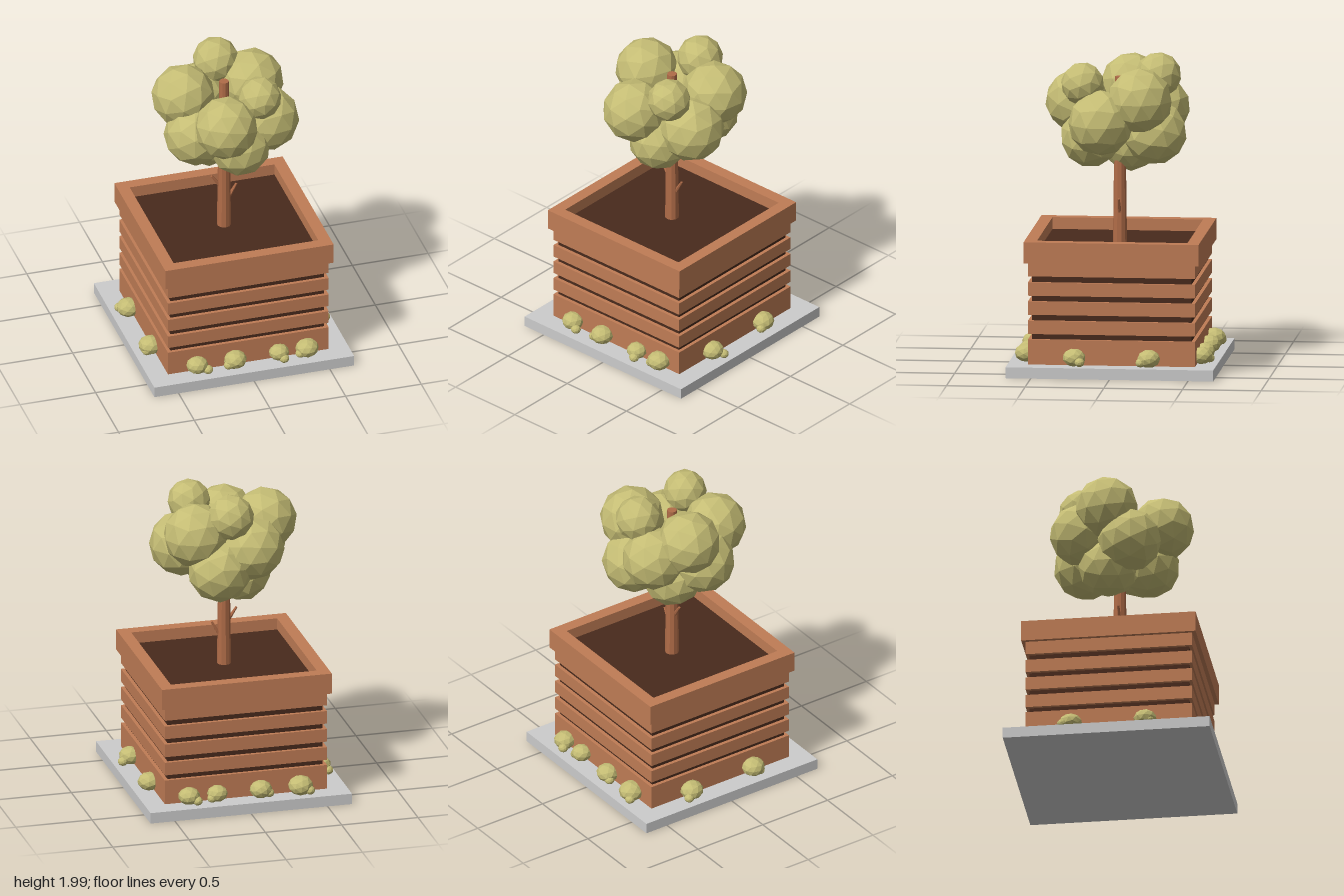
import * as THREE from 'three';

const material = (color) => new THREE.MeshStandardMaterial({ color, flatShading: true });

export function createModel() {
  const model = new THREE.Group();
  const wood = material(0xbf7c55);
  const bark = material(0xb06c48);
  const soilDark = material(0x482a1c);
  const leaf = material(0xc4bc74);
  const stone = material(0xcccccc);

  const add = (name, geometry, mat, parent = model) => {
    const mesh = new THREE.Mesh(geometry, mat);
    mesh.name = name;
    parent.add(mesh);
    return mesh;
  };

  // Square box standing between two heights
  const block = (name, half, y0, y1, mat) => {
    add(name, new THREE.BoxGeometry(half * 2, y1 - y0, half * 2), mat).position.y = (y0 + y1) / 2;
  };

  // Square wooden frame with an open middle
  const frame = (name, outer, inner, y0, y1) => {
    const square = (path, h) => path.moveTo(-h, -h).lineTo(h, -h).lineTo(h, h).lineTo(-h, h).closePath();
    const shape = square(new THREE.Shape(), outer);
    shape.holes.push(square(new THREE.Path(), inner));
    const geometry = new THREE.ExtrudeGeometry(shape, { depth: y1 - y0, bevelEnabled: false });
    geometry.rotateX(-Math.PI / 2);
    add(name, geometry, wood).position.y = y0;
  };

  // Planter
  block('baseSlab', 0.66, 0, 0.07, stone);
  block('soil', 0.508, 0.07, 0.78, soilDark);
  [[0.07, 0.23], [0.265, 0.35], [0.388, 0.473], [0.51, 0.595], [0.634, 0.725]]
    .forEach(([y0, y1], i) => frame(`plankRing${i + 1}`, 0.531, 0.49, y0, y1));
  frame('rim', 0.556, 0.478, 0.72, 0.855);

  // Trunk and twig stubs
  const trunk = new THREE.Group();
  trunk.name = 'trunk';
  model.add(trunk);
  add('stem', new THREE.CylinderGeometry(0.031, 0.045, 1.07, 10), bark, trunk).position.y = 1.305;
  const up = new THREE.Vector3(0, 1, 0);
  const twig = (x0, y0, x1, y1) => {
    const from = new THREE.Vector3(x0, y0, 0);
    const dir = new THREE.Vector3(x1, y1, 0).sub(from);
    const mesh = add('twig', new THREE.CylinderGeometry(0.007, 0.014, dir.length(), 6), bark, trunk);
    mesh.position.copy(from).addScaledVector(dir, 0.5);
    mesh.quaternion.setFromUnitVectors(up, dir.normalize());
  };
  twig(-0.02, 1.06, -0.082, 1.15);
  twig(0.02, 0.96, 0.082, 1.067);

  // Faceted leaf ball, turned differently each time
  let turn = 0;
  const ball = (name, parent, x, y, z, r, squash = 1) => {
    const geometry = new THREE.IcosahedronGeometry(r, 1);
    turn += 1;
    geometry.rotateX(turn * 0.7).rotateY(turn * 1.3).scale(1, squash, 1);
    add(name, geometry, leaf, parent).position.set(x, y, z);
  };

  // Crown: x, y, z, radius
  const crown = new THREE.Group();
  crown.name = 'crown';
  model.add(crown);
  [
    [-0.255, 1.75, -0.05, 0.203],
    [-0.07, 1.67, 0.28, 0.203],
    [0.225, 1.72, -0.15, 0.208],
    [0.17, 1.815, 0.22, 0.138],
    [0.02, 1.855, -0.245, 0.147],
    [0.25, 1.58, 0.095, 0.21],
    [-0.125, 1.63, -0.23, 0.203],
    [0.09, 1.5, -0.23, 0.205],
    [-0.215, 1.54, 0.09, 0.203],
    [0.05, 1.46, 0.18, 0.195],
    [-0.09, 1.415, -0.06, 0.192],
  ].forEach(([x, y, z, r]) => ball('leafBall', crown, x, y, z, r));

  // Shrubs around the foot: x, z, radius, then offset of the side tuft
  const shrubs = new THREE.Group();
  shrubs.name = 'shrubs';
  model.add(shrubs);
  [
    [-0.345, 0.555, 0.07, 0.06, 0.04],
    [-0.095, 0.56, 0.073, -0.05, 0.02],
    [0.195, 0.555, 0.065, 0.02, 0.05],
    [0.38, 0.555, 0.075, -0.05, 0.02],
    [-0.35, -0.56, 0.08, -0.05, -0.045],
    [-0.09, -0.56, 0.072, -0.05, -0.02],
    [0.195, -0.56, 0.066, 0.04, -0.02],
    [0.38, -0.56, 0.07, -0.045, -0.045],
    [-0.56, -0.24, 0.075, -0.045, -0.05],
    [-0.56, 0.235, 0.075, -0.03, 0.03],
    [0.555, -0.24, 0.073, 0.03, 0.05],
    [0.55, 0.235, 0.073, 0.06, -0.04],
  ].forEach(([x, z, r, dx, dz]) => {
    ball('shrub', shrubs, x, 0.122, z, r, 0.8);
    ball('shrubTuft', shrubs, x + dx, 0.1, z + dz, 0.032, 0.9);
  });

  return model;
}
